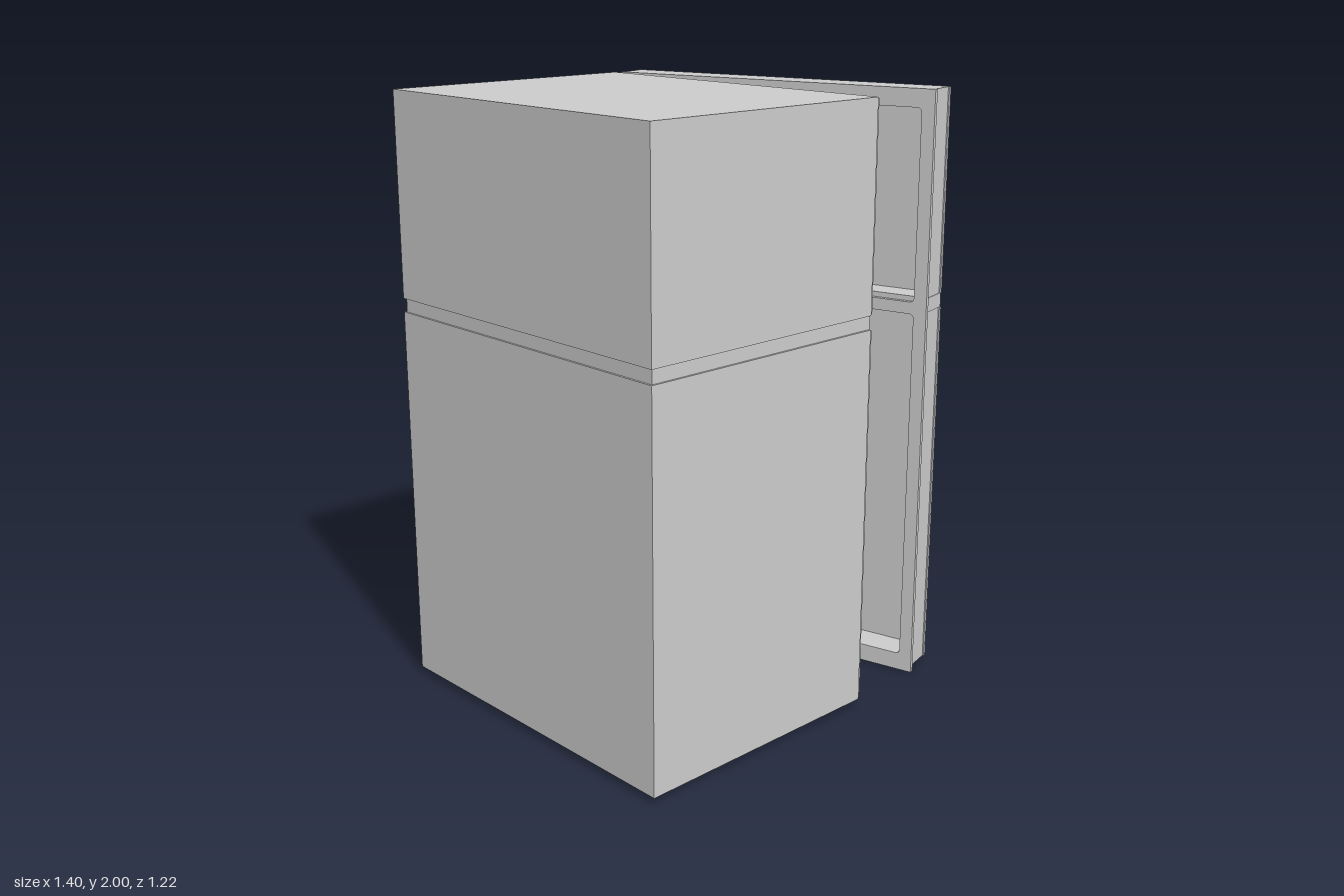
import * as THREE from 'three';

const material = new THREE.MeshStandardMaterial({ color: 0xcccccc });

// Rectangle outline in the z-y plane, with optional rounded corners
function rect(Type, z0, z1, y0, y1, r) {
  const p = new Type();
  const a = -z1, b = -z0;
  p.moveTo(a + r, y0);
  p.lineTo(b - r, y0);
  if (r) p.absarc(b - r, y0 + r, r, -Math.PI / 2, 0);
  p.lineTo(b, y1 - r);
  if (r) p.absarc(b - r, y1 - r, r, 0, Math.PI / 2);
  p.lineTo(a + r, y1);
  if (r) p.absarc(a + r, y1 - r, r, Math.PI / 2, Math.PI);
  p.lineTo(a, y0 + r);
  if (r) p.absarc(a + r, y0 + r, r, Math.PI, Math.PI * 1.5);
  return p;
}

function add(parent, name, geometry) {
  const mesh = new THREE.Mesh(geometry, material);
  mesh.name = name;
  parent.add(mesh);
  return mesh;
}

// Block given by its limits on each axis
function block(parent, name, x0, x1, y0, y1, z0, z1) {
  const mesh = add(parent, name, new THREE.BoxGeometry(x1 - x0, y1 - y0, z1 - z0));
  mesh.position.set((x0 + x1) / 2, (y0 + y1) / 2, (z0 + z1) / 2);
  return mesh;
}

// Rectangular frame with a rounded opening, running from x0 to x1
function frame(parent, name, x0, x1, outer, hole, r) {
  const shape = rect(THREE.Shape, ...outer, 0);
  shape.holes.push(rect(THREE.Path, ...hole, r));
  const geometry = new THREE.ExtrudeGeometry(shape, { depth: x1 - x0, bevelEnabled: false, curveSegments: 5 });
  geometry.rotateY(Math.PI / 2);
  const mesh = add(parent, name, geometry);
  mesh.position.x = x0;
  return mesh;
}

// One storage compartment: closed at -x, open at +x
function compartment(parent, name, y0, y1, holeY0, holeY1) {
  const group = new THREE.Group();
  group.name = name;
  block(group, 'backPanel', -0.7, -0.68, y0, y1, -0.59, 0.61);
  frame(group, 'walls', -0.68, 0.217, [-0.59, 0.61, y0, y1], [-0.572, 0.592, holeY0, holeY1], 0.03);
  frame(group, 'rim', 0.217, 0.226, [-0.586, 0.606, y0 + 0.004, y1 - 0.004], [-0.572, 0.592, holeY0, holeY1], 0.03);
  parent.add(group);
}

// Bar handle on two posts
function handle(parent, name, y0, y1) {
  const group = new THREE.Group();
  group.name = name;
  block(group, 'grip', 0.052, 0.07, y0, y1, 0, 0.075);
  for (const y of [y0, y1 - 0.062]) block(group, 'post', 0, 0.052, y, y + 0.062, 0, 0.075);
  group.position.set(0.118, 0, 1.05);
  parent.add(group);
}

export function createModel() {
  const model = new THREE.Group();
  model.name = 'refrigerator';

  // Cabinet with a shallow groove between the compartments
  const cabinet = new THREE.Group();
  cabinet.name = 'cabinet';
  compartment(cabinet, 'lowerCompartment', 0.02, 1.285, 0.045, 1.275);
  compartment(cabinet, 'freezerCompartment', 1.33, 2, 1.342, 1.98);
  block(cabinet, 'divider', -0.693, 0.219, 1.285, 1.33, -0.583, 0.603);
  model.add(cabinet);

  // Door standing ajar, hinged at the rear edge of the opening
  const door = new THREE.Group();
  door.name = 'door';
  door.position.set(0.24, 0, -0.58);
  door.rotation.y = 0.245;
  const L = 1.195;
  const sections = [
    { name: 'lowerDoor', y: [0.02, 1.281], lip: [0, 1.292], hole: [0.06, 1.272] },
    { name: 'freezerDoor', y: [1.329, 2], lip: [1.292, 2], hole: [1.312, 1.94] },
  ];
  for (const s of sections) {
    const part = new THREE.Group();
    part.name = s.name;
    const hole = [0.045, 1.15, ...s.hole];
    frame(part, 'innerLip', 0, 0.015, [0, L, ...s.lip], hole, 0.015);
    const low = Math.min(s.y[0], s.hole[0] - 0.008);
    frame(part, 'doorWalls', 0.015, 0.106, [0.004, L - 0.004, low, s.y[1]], hole, 0.015);
    block(part, 'outerPanel', 0.106, 0.118, ...s.y, 0, L);
    door.add(part);
  }
  // Strip filling the seam between the two door sections
  block(door, 'doorSeam', 0.015, 0.1165, 1.281, 1.329, 0.002, L - 0.002);
  handle(door, 'upperHandle', 1.4, 1.85);
  handle(door, 'lowerHandle', 0.815, 1.205);
  model.add(door);

  return model;
}
